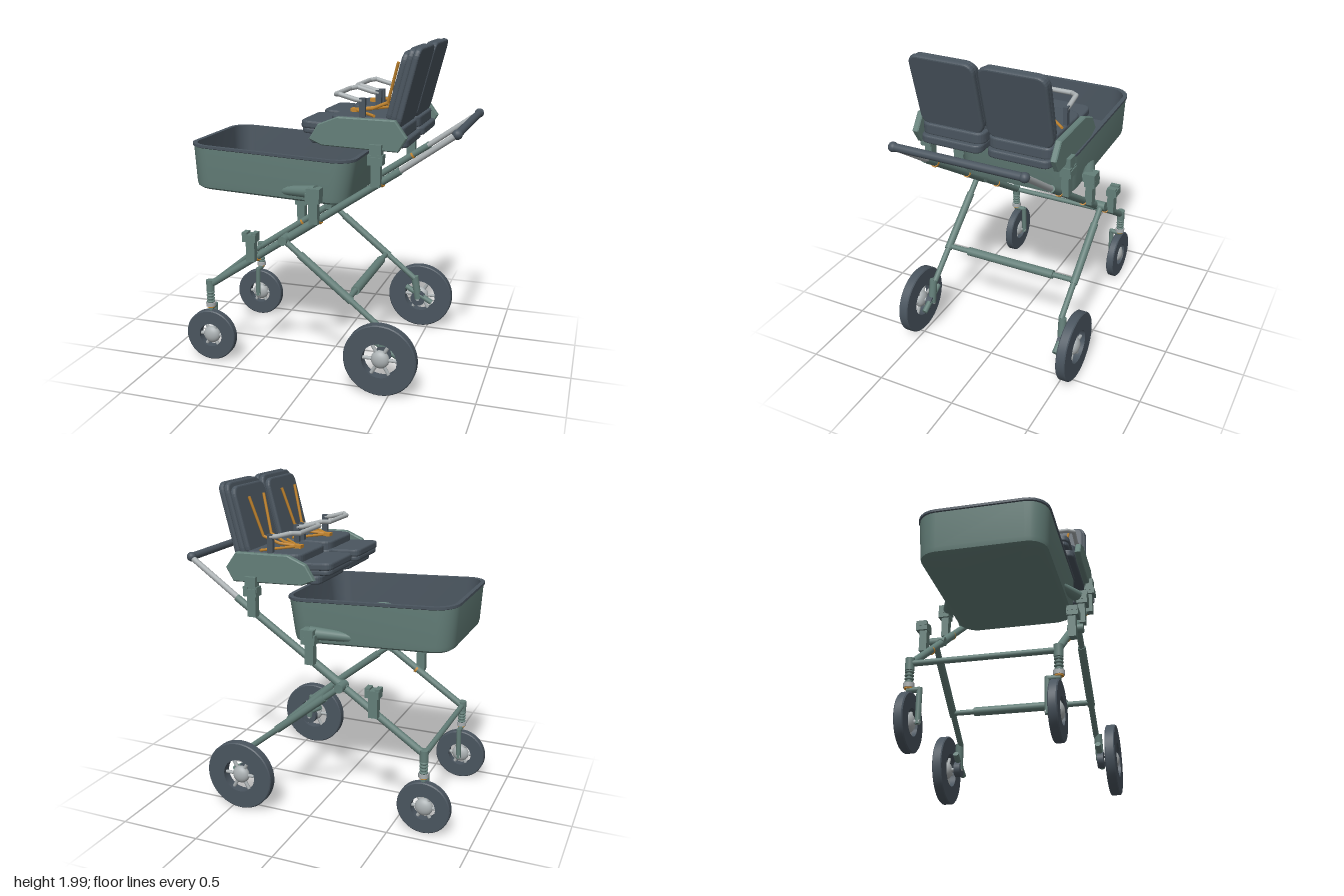
import * as THREE from 'three';
import { toCreasedNormals } from 'three/addons/utils/BufferGeometryUtils.js';

const mat = (name, color) => Object.assign(new THREE.MeshStandardMaterial({ color }), { name });
const green = mat('frame green', 0x647f79);
const dark = mat('charcoal fabric and rubber', 0x4a555f);
const silver = mat('silver metal', 0xaab0b2);
const orange = mat('orange harness', 0xc4862f);

const V = (x, y, z) => new THREE.Vector3(x, y, z);

function add(parent, name, geo, material, x = 0, y = 0, z = 0) {
  const m = new THREE.Mesh(geo, material);
  m.name = name;
  m.position.set(x, y, z);
  parent.add(m);
  return m;
}

// Straight round bar between two points
function rod(parent, name, a, b, r, material, r2 = r, sides = 14) {
  const dir = b.clone().sub(a);
  const m = add(parent, name, new THREE.CylinderGeometry(r2, r, dir.length(), sides), material);
  m.position.copy(a).add(b).multiplyScalar(0.5);
  m.quaternion.setFromUnitVectors(V(0, 1, 0), dir.normalize());
  return m;
}

const box = (parent, name, w, h, d, material, x, y, z) =>
  add(parent, name, new THREE.BoxGeometry(w, h, d), material, x, y, z);

// Rounded slab lying flat: length on x, thickness on y, width on z
function pad(w, d, t, r) {
  const b = Math.min(0.012, t * 0.35), x = w / 2 - b, y = d / 2 - b;
  const s = new THREE.Shape();
  s.moveTo(-x + r, -y);
  s.lineTo(x - r, -y).quadraticCurveTo(x, -y, x, -y + r);
  s.lineTo(x, y - r).quadraticCurveTo(x, y, x - r, y);
  s.lineTo(-x + r, y).quadraticCurveTo(-x, y, -x, y - r);
  s.lineTo(-x, -y + r).quadraticCurveTo(-x, -y, -x + r, -y);
  const g = new THREE.ExtrudeGeometry(s, {
    depth: t - 2 * b, bevelSize: b, bevelThickness: b, bevelSegments: 3, curveSegments: 6 });
  return g.translate(0, 0, b - t / 2).rotateX(-Math.PI / 2);
}

// Skin through rounded-rectangle rings [halfX, halfZ, cornerRadius, y]
function loft(rings) {
  const pos = [], idx = [], n = 28;
  for (const [hx, hz, r, y] of rings)
    for (let k = 0; k < 4; k++)
      for (let i = 0; i < 7; i++) {
        const a = (k + i / 6) * Math.PI / 2;
        const sx = k === 0 || k === 3 ? 1 : -1, sz = k < 2 ? 1 : -1;
        pos.push(sx * (hx - r) + r * Math.cos(a), y, sz * (hz - r) + r * Math.sin(a));
      }
  for (let j = 0; j < rings.length - 1; j++)
    for (let i = 0; i < n; i++) {
      const a = j * n + i, b = j * n + (i + 1) % n;
      idx.push(a, a + n, b, b, a + n, b + n);
    }
  const g = new THREE.BufferGeometry();
  g.setAttribute('position', new THREE.Float32BufferAttribute(pos, 3));
  g.setIndex(idx);
  return toCreasedNormals(g, 0.6);
}

function wheel(parent, name, x, z, R, hole, w) {
  const g = new THREE.Group();
  g.name = name;
  g.position.set(x, R, z);
  const h = w / 2, c = 0.006;
  const profile = [[hole, -h], [R - c, -h], [R, c - h], [R, h - c], [R - c, h], [hole, h], [hole, -h]]
    .map(p => new THREE.Vector2(...p));
  add(g, 'tyre', toCreasedNormals(new THREE.LatheGeometry(profile, 48).rotateX(Math.PI / 2), 0.6), dark);
  for (let i = 0; i < 6; i++) {
    const a = i * Math.PI / 3;
    rod(g, 'spoke', V(0, 0, 0), V(Math.cos(a) * (hole + 0.01), Math.sin(a) * (hole + 0.01), 0), 0.011, silver, 0.011, 8);
  }
  add(g, 'hub', new THREE.SphereGeometry(0.055, 24, 16), silver).scale.z = 0.65;
  parent.add(g);
}

// Point on the sloping side rail
const railY = x => 0.5 + (x + 0.69) * 0.675;

function buildFrameSide(root, s) {
  const P = (x, y, z) => V(x, y, z * s);
  rod(root, 'sideRail', P(-0.69, 0.5, 0.405), P(0.51, railY(0.51), 0.405), 0.022, green);
  rod(root, 'railSleeve', P(-0.2, railY(-0.2), 0.405), P(0.02, railY(0.02), 0.405), 0.026, green);
  rod(root, 'handleTube', P(0.5, railY(0.5), 0.4), P(0.82, 1.53, 0.4), 0.018, silver);
  add(root, 'handleEnd', new THREE.SphereGeometry(0.029, 16, 12), dark, 0.82, 1.53, 0.395 * s);

  // Rear leg with pivot, thicker lower tube and brake
  rod(root, 'legPivot', P(-0.18, 0.85, 0.38), P(-0.18, 0.85, 0.475), 0.028, green);
  rod(root, 'rearLeg', P(-0.18, 0.85, 0.445), P(0.42, 0.37, 0.445), 0.018, green);
  rod(root, 'rearLegSleeve', P(-0.08, 0.77, 0.445), P(0.24, 0.514, 0.445), 0.024, green);
  rod(root, 'rearAxleArm', P(0.42, 0.38, 0.455), P(0.445, 0.22, 0.46), 0.025, green);
  rod(root, 'brakeArm', P(0.36, 0.3, 0.46), P(0.54, 0.2, 0.46), 0.018, green);
  rod(root, 'brakeDrum', P(0.445, 0.22, 0.445), P(0.445, 0.22, 0.485), 0.05, dark);
  rod(root, 'rearAxle', P(0.445, 0.22, 0.44), P(0.445, 0.22, 0.56), 0.013, silver);
  wheel(root, 'rearWheel', 0.445, 0.545 * s, 0.218, 0.105, 0.06);

  // Front suspension and swivel arm
  rod(root, 'forkSocket', P(-0.69, 0.46, 0.41), P(-0.69, 0.53, 0.41), 0.026, green);
  rod(root, 'forkStem', P(-0.69, 0.34, 0.41), P(-0.69, 0.47, 0.41), 0.013, green);
  for (let i = 0; i < 4; i++) {
    const t = add(root, 'springCoil', new THREE.TorusGeometry(0.019, 0.007, 8, 18), green, -0.69, 0.45 - i * 0.02, 0.41 * s);
    t.rotation.x = Math.PI / 2;
  }
  rod(root, 'forkCollar', P(-0.69, 0.36, 0.41), P(-0.69, 0.385, 0.41), 0.031, silver);
  rod(root, 'forkRing', P(-0.69, 0.352, 0.41), P(-0.69, 0.36, 0.41), 0.025, orange);
  rod(root, 'forkTop', P(-0.69, 0.345, 0.42), P(-0.69, 0.345, 0.345), 0.016, green);
  rod(root, 'forkArm', P(-0.69, 0.355, 0.348), P(-0.695, 0.15, 0.348), 0.016, green);
  rod(root, 'frontAxle', P(-0.695, 0.163, 0.335), P(-0.695, 0.163, 0.42), 0.014, silver);
  wheel(root, 'frontWheel', -0.695, 0.4 * s, 0.163, 0.075, 0.05);

  // Three carrier mounts along the rail
  for (const x of [-0.39, 0.01, 0.38]) {
    const y = railY(x);
    box(root, 'mountPost', 0.055, 0.16, 0.045, green, x, y + 0.075, 0.442 * s);
    box(root, 'mountHead', 0.085, 0.045, 0.068, green, x, y + 0.145, 0.449 * s);
    for (const e of [-1, 1]) box(root, 'mountClaw', 0.03, 0.03, 0.06, green, x + e * 0.03, y + 0.165, 0.449 * s);
    rod(root, 'mountRing', P(x + 0.014, railY(x + 0.014) - 0.005, 0.405), P(x + 0.026, railY(x + 0.026) - 0.005, 0.405), 0.025, orange);
  }

  // Basket arm passing through the basket wall to the middle mount
  rod(root, 'basketArm', P(-0.25, 1.125, 0.335), P(0.02, 1.155, 0.43), 0.025, green, 0.04);
  box(root, 'basketArmCatch', 0.085, 0.03, 0.045, green, -0.25, 1.135, 0.33 * s);
  box(root, 'basketArmHead', 0.08, 0.055, 0.075, green, 0.015, 1.155, 0.445 * s);

  // Seat side panel and its adapter
  const panel = new THREE.Shape([[-0.01, 1.47], [0.06, 1.44], [0.5, 1.425], [0.545, 1.5], [0.48, 1.59], [0.15, 1.595], [0.04, 1.55]]
    .map(p => new THREE.Vector2(...p)));
  const pg = new THREE.ExtrudeGeometry(panel, { depth: 0.026, bevelSize: 0.006, bevelThickness: 0.006, bevelSegments: 1 });
  add(root, 'seatSidePanel', pg, green, 0, 0, s > 0 ? 0.418 : -0.444);
  box(root, 'seatAdapter', 0.07, 0.1, 0.05, green, 0.38, 1.41, 0.45 * s);
}

function buildBasket(root) {
  const g = new THREE.Group();
  g.name = 'basket';
  g.position.set(-0.317, 1.08, 0);
  g.rotation.z = -0.045;
  add(g, 'basketShell', loft([[0.001, 0.001, 0, 0], [0.465, 0.345, 0.09, 0], [0.488, 0.37, 0.11, 0.015],
    [0.495, 0.374, 0.115, 0.04], [0.519, 0.384, 0.125, 0.265]]), green);
  add(g, 'basketLining', loft([[0.519, 0.384, 0.125, 0.258], [0.526, 0.391, 0.13, 0.262], [0.526, 0.391, 0.13, 0.277],
    [0.5, 0.365, 0.11, 0.277], [0.477, 0.352, 0.1, 0.035], [0.001, 0.001, 0, 0.03]]), dark);
  root.add(g);
}

function buildSeat(root, s) {
  const g = new THREE.Group();
  g.name = 'seat';
  const zc = 0.212 * s;
  g.position.z = zc;

  // Base, cushion and footrest
  add(g, 'seatBase', pad(0.58, 0.39, 0.05, 0.04), dark, 0.255, 1.46, 0);
  add(g, 'seatMiddle', pad(0.44, 0.4, 0.07, 0.05), dark, 0.3, 1.515, 0);
  add(g, 'seatCushion', pad(0.38, 0.38, 0.06, 0.06), dark, 0.28, 1.57, 0);
  add(g, 'footrestBase', pad(0.2, 0.34, 0.035, 0.04), dark, 0.01, 1.5, 0).rotation.z = -0.05;
  add(g, 'footrestCushion', pad(0.21, 0.35, 0.045, 0.04), dark, 0.01, 1.535, 0).rotation.z = -0.05;

  // Layered backrest leaning to the rear
  const back = new THREE.Group();
  back.name = 'backrest';
  back.position.set(0.455, 1.55, 0);
  back.rotation.z = -0.25;
  for (const [x, h, w, t] of [[0.028, 0.46, 0.4, 0.035], [-0.003, 0.45, 0.39, 0.035], [-0.033, 0.42, 0.37, 0.035]])
    add(back, 'backrestLayer', pad(h, w, t, 0.05), dark, x, h / 2, 0).rotation.z = Math.PI / 2;
  g.add(back);

  // Bumper bar on two posts
  const path = [[0.28, 1.69, -0.175], [0.24, 1.695, -0.175], [0.15, 1.72, -0.175], [0.115, 1.715, -0.135],
    [0.115, 1.715, 0.135], [0.15, 1.72, 0.175], [0.24, 1.695, 0.175], [0.28, 1.69, 0.175]].map(p => V(...p));
  for (let i = 0; i < path.length - 1; i++) {
    rod(g, 'bumperBar', path[i], path[i + 1], 0.014, silver);
    add(g, 'bumperJoint', new THREE.SphereGeometry(0.014, 12, 8), silver).position.copy(path[i]);
  }
  for (const e of [-1, 1]) box(g, 'bumperPost', 0.035, 0.13, 0.025, dark, 0.282, 1.64, 0.175 * e);

  // Five-point harness
  box(g, 'buckle', 0.045, 0.02, 0.045, orange, 0.187, 1.61, 0);
  for (const e of [-1, 1]) {
    const strap = [[0.19, 1.61, 0], [0.3, 1.625, 0.03], [0.395, 1.665, 0.05], [0.462, 1.9, 0.09]].map(p => V(p[0], p[1], p[2] * e));
    for (let i = 0; i < 3; i++) rod(g, 'shoulderStrap', strap[i], strap[i + 1], 0.009, orange, 0.009, 6);
    rod(g, 'lapStrap', strap[0], V(0.35, 1.607, 0.18 * e), 0.009, orange, 0.009, 6);
  }
  root.add(g);
}

export function createModel() {
  const root = new THREE.Group();
  root.name = 'doubleStroller';
  for (const s of [1, -1]) {
    buildFrameSide(root, s);
    buildSeat(root, s);
  }
  buildBasket(root);

  // Cross members and handle
  rod(root, 'handleGrip', V(0.82, 1.53, -0.38), V(0.82, 1.53, 0.38), 0.023, dark);
  rod(root, 'frontCrossbar', V(-0.69, 0.5, -0.41), V(-0.69, 0.5, 0.41), 0.017, green);
  rod(root, 'rearCrossbar', V(0.22, 0.525, -0.44), V(0.22, 0.525, 0.44), 0.017, green);
  rod(root, 'rearCrossbarSleeve', V(0.22, 0.525, -0.3), V(0.22, 0.525, 0.3), 0.028, green);
  return root;
}
